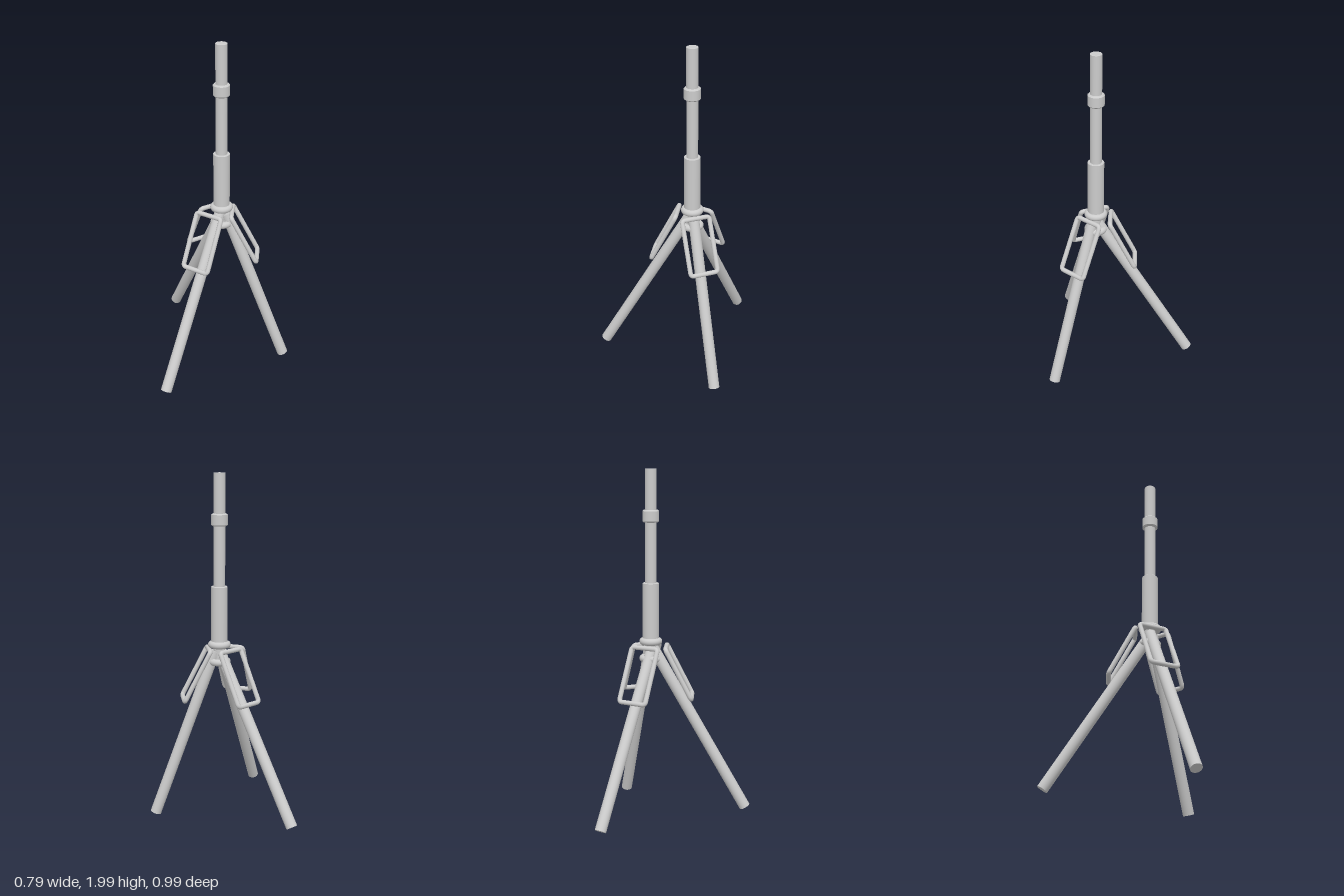
import * as THREE from 'three';

const AXIS_X = -0.02, AXIS_Z = -0.01;

export function createModel() {
  const root = new THREE.Group();
  const material = new THREE.MeshStandardMaterial({ color: 0xcccccc });

  function add(name, geometry, x = 0, y = 0, z = 0) {
    const mesh = new THREE.Mesh(geometry, material);
    mesh.name = name;
    mesh.position.set(x, y, z);
    root.add(mesh);
    return mesh;
  }

  // Upright cylinder with a small bevel on both rims
  function upright(name, radius, y0, y1, bevel) {
    const profile = [
      [0, y0], [radius - bevel, y0], [radius - bevel, y0], [radius, y0 + bevel], [radius, y0 + bevel],
      [radius, y1 - bevel], [radius, y1 - bevel], [radius - bevel, y1], [radius - bevel, y1], [0, y1],
    ].map(([r, y]) => new THREE.Vector2(r, y));
    return add(name, new THREE.LatheGeometry(profile, 32), AXIS_X, 0, AXIS_Z);
  }

  // Central column
  upright('centreRod', 0.033, 0.92, 2, 0.002);
  upright('upperCollar', 0.047, 1.705, 1.775, 0.007);
  upright('lowerSleeve', 0.047, 1.04, 1.365, 0.003);

  // Rounded rings that hold the leg joints
  for (const [name, y] of [['upperRing', 1.028], ['lowerRing', 0.928]]) {
    const ring = add(name, new THREE.TorusGeometry(0.046, 0.02, 16, 40), AXIS_X, y, AXIS_Z);
    ring.rotation.x = Math.PI / 2;
  }

  // Straight round leg between two points
  function leg(name, top, foot) {
    const a = new THREE.Vector3(...top), b = new THREE.Vector3(...foot);
    const dir = a.clone().sub(b);
    const mesh = add(name, new THREE.CylinderGeometry(0.032, 0.032, dir.length(), 32));
    mesh.position.copy(a).add(b).multiplyScalar(0.5);
    mesh.quaternion.setFromUnitVectors(new THREE.Vector3(0, 1, 0), dir.normalize());
  }
  leg('leftLeg', [0.005, 0.99, -0.008], [0.36, 0.018, -0.008]);
  leg('frontRightLeg', [-0.03, 0.99, 0], [-0.306, 0.05, 0.467]);
  leg('backRightLeg', [-0.022, 0.99, -0.002], [-0.367, 0.075, -0.463]);

  // Rounded rectangle of bent tube, sloping down and outwards
  function brace(name, centreX, centreZ, outX, outZ) {
    const half = 0.083, radius = 0.02;
    const out = new THREE.Vector3(outX, 0, outZ).normalize();
    const side = new THREE.Vector3(-out.z, 0, out.x);
    const point = (u, v) => new THREE.Vector3(centreX, 0.856, centreZ)
      .addScaledVector(side, u * half)
      .addScaledVector(out, v * 0.074)
      .add(new THREE.Vector3(0, -v * 0.144, 0));
    const corners = [point(-1, -1), point(1, -1), point(1, 1), point(-1, 1)];
    const towards = (a, b) => a.clone().addScaledVector(b.clone().sub(a).normalize(), radius);

    const path = new THREE.CurvePath();
    for (let i = 0; i < 4; i++) {
      const a = corners[i], b = corners[(i + 1) % 4], c = corners[(i + 2) % 4];
      path.add(new THREE.LineCurve3(towards(a, b), towards(b, a)));
      path.add(new THREE.QuadraticBezierCurve3(towards(b, a), b, towards(b, c)));
    }
    add(name, new THREE.TubeGeometry(path, 200, 0.0135, 14, true));
  }
  brace('leftBrace', 0.115, -0.008, 1, 0);
  brace('frontRightBrace', -0.122, 0.122, -0.476, 0.88);
  brace('backRightBrace', -0.121, -0.132, -0.607, -0.794);

  return root;
}
